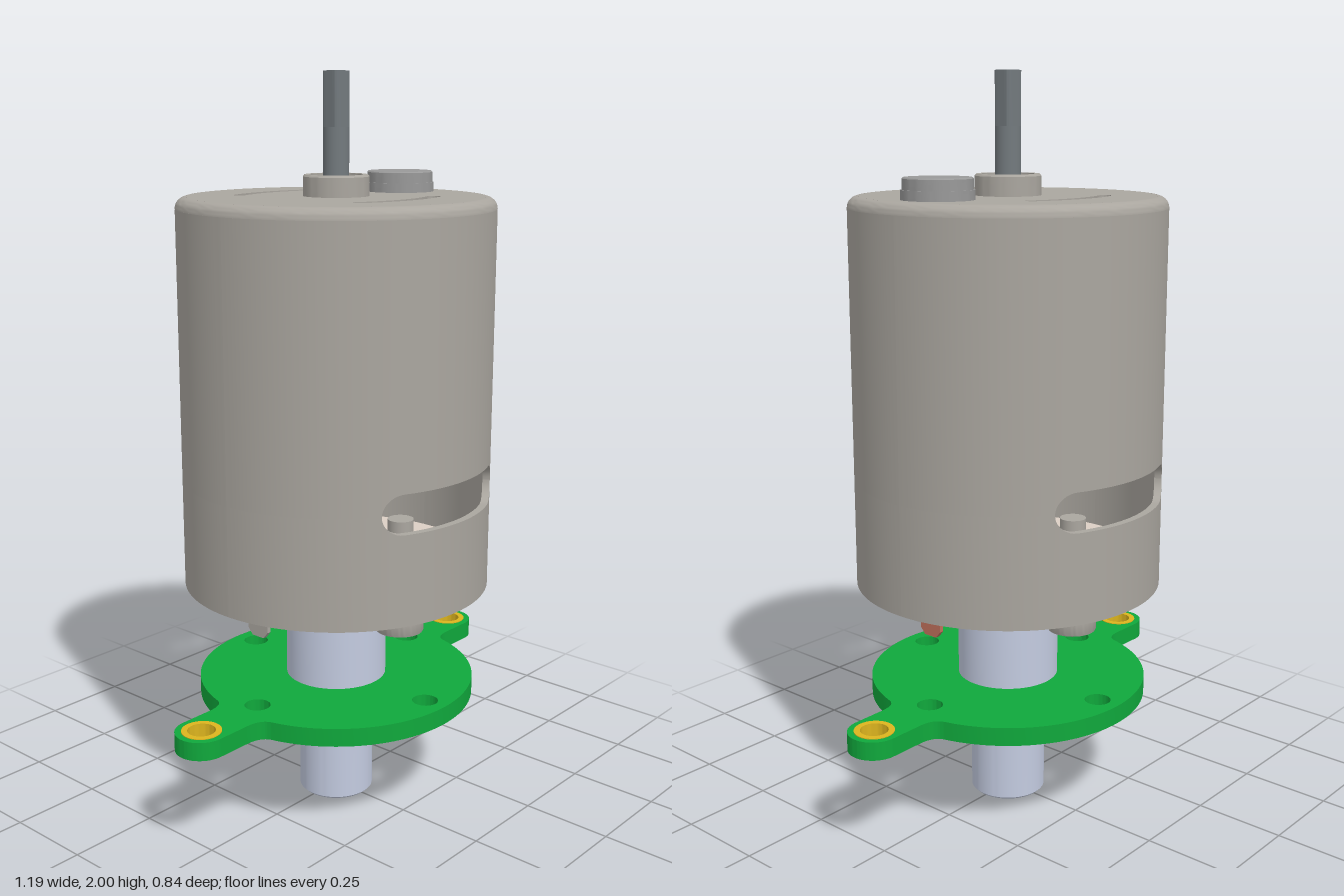
import * as THREE from 'three';
import { mergeGeometries, toCreasedNormals } from 'three/addons/utils/BufferGeometryUtils.js';

const PI = Math.PI;
const mat = (color) => new THREE.MeshStandardMaterial({ color });
const STEEL = mat(0xaaa69f), SHAFT = mat(0x737a7e), GREY = mat(0x999999), ALLOY = mat(0xc3cbe0);
const GREEN = mat(0x10a83c), GOLD = mat(0xdcb41e), COPPER = mat(0xc0705c), BEIGE = mat(0xdccfc4);

export function createModel() {
  const model = new THREE.Group();
  const add = (name, geometry, material, x = 0, y = 0, z = 0) => {
    const mesh = new THREE.Mesh(geometry, material);
    mesh.name = name;
    mesh.position.set(x, y, z);
    model.add(mesh);
    return mesh;
  };
  // Turned part: profile of [radius, y], going up on the outside
  const turned = (profile, seg = 64) => toCreasedNormals(
    new THREE.LatheGeometry(profile.map(([r, y]) => new THREE.Vector2(r, y)), seg), 0.5);
  // Flat part: outline in plan, thickness upwards
  const plate = (shape, depth, options = {}) => toCreasedNormals(new THREE.ExtrudeGeometry(shape,
    { depth, bevelEnabled: false, curveSegments: 32, ...options }).rotateX(-PI / 2), 0.5);
  const circle = (x, y, r) => new THREE.Path().absarc(x, y, r, 0, 2 * PI, true);

  // Can wall with a rounded window at front and back
  const RO = 0.42, RI = 0.4, WALL_BOTTOM = 0.635, WALL_TOP = 1.655;
  const MID = 0.932, HALF_W = 0.23, END_R = 0.053;
  const windowHalf = (t) => {
    const x = RO * Math.abs(Math.sin(t)), over = x - (HALF_W - END_R);
    if (x >= HALF_W - 1e-6) return 0;
    return over <= 0 ? END_R : Math.sqrt(END_R * END_R - over * over);
  };
  const edge = Math.asin(HALF_W / RO);
  const windowAngles = [], flank = [];
  for (let i = 0; i <= 40; i++) {
    windowAngles.push(Math.asin(HALF_W / RO * Math.sin((i / 20 - 1) * PI / 2)));
  }
  for (let i = 1; i <= 18; i++) flank.push(edge + (PI / 2 - edge) * i / 18);
  const angles = [...flank.map((t) => -t).reverse(), ...windowAngles, ...flank];

  // Ribbon between two curves, each given as radius and a height rule
  const ribbon = (list, ra, ya, rb, yb) => {
    const pos = [], index = [];
    list.forEach((t, i) => {
      const s = Math.sin(t), c = Math.cos(t), k = 2 * i;
      pos.push(ra * s, ya(t), ra * c, rb * s, yb(t), rb * c);
      if (i < list.length - 1) index.push(k, k + 2, k + 1, k + 2, k + 3, k + 1);
    });
    const g = new THREE.BufferGeometry();
    g.setAttribute('position', new THREE.Float32BufferAttribute(pos, 3));
    g.setIndex(index);
    g.computeVertexNormals();
    return g;
  };
  const bottom = () => WALL_BOTTOM, top = () => WALL_TOP;
  const low = (t) => MID - windowHalf(t), high = (t) => MID + windowHalf(t);
  const halfWall = mergeGeometries([
    ribbon(angles, RO, bottom, RO, low), ribbon(angles, RO, high, RO, top),
    ribbon(angles, RI, low, RI, bottom), ribbon(angles, RI, top, RI, high),
    ribbon(windowAngles, RO, low, RI, low), ribbon(windowAngles, RI, high, RO, high),
    ribbon(angles, RI, bottom, RO, bottom),
  ]);
  add('canWallFront', halfWall, STEEL);
  add('canWallBack', halfWall, STEEL).rotation.y = PI;

  // Rounded shoulder and top with two curved vents
  const shoulder = [[0.4, 1.655], [0.42, 1.655]];
  for (let i = 1; i <= 8; i++) {
    const a = i / 8 * PI / 2;
    shoulder.push([0.39 + 0.03 * Math.cos(a), 1.655 + 0.03 * Math.sin(a)]);
  }
  shoulder.push([0.39, 1.665], [0.4, 1.655]);
  add('canShoulder', turned(shoulder, 96), STEEL);

  const topShape = new THREE.Shape().absarc(0, 0, 0.39, 0, 2 * PI, false);
  const R = 0.38, C = -0.143, SPAN = 0.4, W = 0.0175;
  for (const side of [1, -1]) {
    const vent = new THREE.Path();
    const ex = R * Math.sin(SPAN), ey = C + R * Math.cos(SPAN);
    vent.absarc(0, C, R + W, PI / 2 - SPAN, PI / 2 + SPAN, false);
    vent.absarc(-ex, ey, W, PI / 2 + SPAN, PI * 1.5 + SPAN, false);
    vent.absarc(0, C, R - W, PI / 2 + SPAN, PI / 2 - SPAN, true);
    vent.absarc(ex, ey, W, -PI / 2 - SPAN, PI / 2 - SPAN, false);
    topShape.holes.push(new THREE.Path(vent.getPoints(16).map((p) => new THREE.Vector2(p.x, side * p.y))));
  }
  add('canTop', plate(topShape, 0.02), STEEL, 0, 1.665, 0);

  // End plate closing the bottom of the can
  add('endPlate', new THREE.CylinderGeometry(0.402, 0.402, 0.035, 96), BEIGE, 0, 0.675, 0);

  // Bearing boss, side button and output shaft
  add('bearingBoss', turned([[0.03, 1.68], [0.087, 1.68], [0.087, 1.735], [0.083, 1.74],
    [0.07, 1.74], [0.07, 1.72], [0.03, 1.72]]), STEEL);
  add('topButton', turned([[0, 1.68], [0.093, 1.68], [0.093, 1.71], [0.089, 1.71],
    [0.089, 1.737], [0.086, 1.74], [0, 1.74]]), GREY, 0.265);
  add('shaft', new THREE.CylinderGeometry(0.034, 0.034, 0.2, 32), SHAFT, 0, 1.76, 0);
  const flats = [];
  for (let i = 0; i < 48; i++) {
    const a = i / 48 * 2 * PI, clamp = (v) => Math.max(-0.028, Math.min(0.028, v));
    flats.push(new THREE.Vector2(clamp(0.034 * Math.cos(a)), clamp(0.034 * Math.sin(a))));
  }
  add('shaftFlats', plate(new THREE.Shape(flats), 0.14), SHAFT, 0, 1.86, 0);

  // Flanged hollow sleeve under the can
  add('sleeve', turned([[0.07, 0], [0.098, 0], [0.104, 0.006], [0.104, 0.355], [0.14, 0.355],
    [0.14, 0.6], [0.28, 0.6], [0.28, 0.66], [0.07, 0.66], [0.07, 0]]), ALLOY);

  // Socket screws through the flange
  const head = new THREE.Shape().absarc(0, 0, 0.058, 0, 2 * PI, false);
  const hex = [];
  for (let i = 0; i < 6; i++) hex.push(new THREE.Vector2(0.036 * Math.cos(i * PI / 3), -0.036 * Math.sin(i * PI / 3)));
  head.holes.push(new THREE.Path(hex));
  const headGeo = plate(head, 0.049, { bevelEnabled: true, bevelSize: 0.008, bevelThickness: 0.008, bevelSegments: 2 });
  for (const s of [1, -1]) {
    add('screwHead', headGeo, STEEL, 0, 0.543, s * 0.228);
    add('screwShank', new THREE.CylinderGeometry(0.035, 0.035, 0.27, 24), STEEL, 0, 0.715, s * 0.228);
  }

  // Terminal tabs with clipped lower corners
  const tab = new THREE.Shape([[-0.035, 0.67], [-0.035, 0.568], [-0.02, 0.55], [0.02, 0.55],
    [0.035, 0.568], [0.035, 0.67]].map(([x, y]) => new THREE.Vector2(x, y)));
  const tabGeo = new THREE.ExtrudeGeometry(tab, { depth: 0.012, bevelEnabled: false })
    .translate(0, 0, -0.006).rotateY(PI / 2);
  add('leftTerminal', tabGeo, COPPER, 0.308);
  add('rightTerminal', tabGeo, STEEL, -0.308);

  // Round board with two mounting ears
  const board = new THREE.Shape();
  const BR = 0.385, EAR_X = 0.525, EAR_R = 0.07, JOIN = 0.27;
  const joinX = BR * Math.cos(JOIN), joinY = BR * Math.sin(JOIN);
  board.moveTo(joinX, joinY);
  for (const s of [1, -1]) {
    const from = s > 0 ? 0 : PI;
    board.absarc(0, 0, BR, from + JOIN, from + PI - JOIN, false);
    board.quadraticCurveTo(-s * 0.38, s * EAR_R, -s * 0.43, s * EAR_R);
    board.absarc(-s * EAR_X, 0, EAR_R, from + PI / 2, from + PI * 1.5, false);
    board.lineTo(-s * 0.43, -s * EAR_R);
    board.quadraticCurveTo(-s * 0.38, -s * EAR_R, -s * joinX, -s * joinY);
  }
  board.holes.push(circle(0, 0, 0.104));
  for (const s of [1, -1]) {
    board.holes.push(circle(s * 0.32, 0, 0.035), circle(0, s * 0.32, 0.035), circle(s * EAR_X, 0, 0.052));
  }
  add('board', plate(board, 0.05), GREEN, 0, 0.305, 0);

  // Plated rings in the ears
  const ring = turned([[0.037, 0.303], [0.053, 0.303], [0.053, 0.357], [0.037, 0.357], [0.037, 0.303]], 40);
  for (const s of [1, -1]) add('earRing', ring, GOLD, s * EAR_X);

  return model;
}
